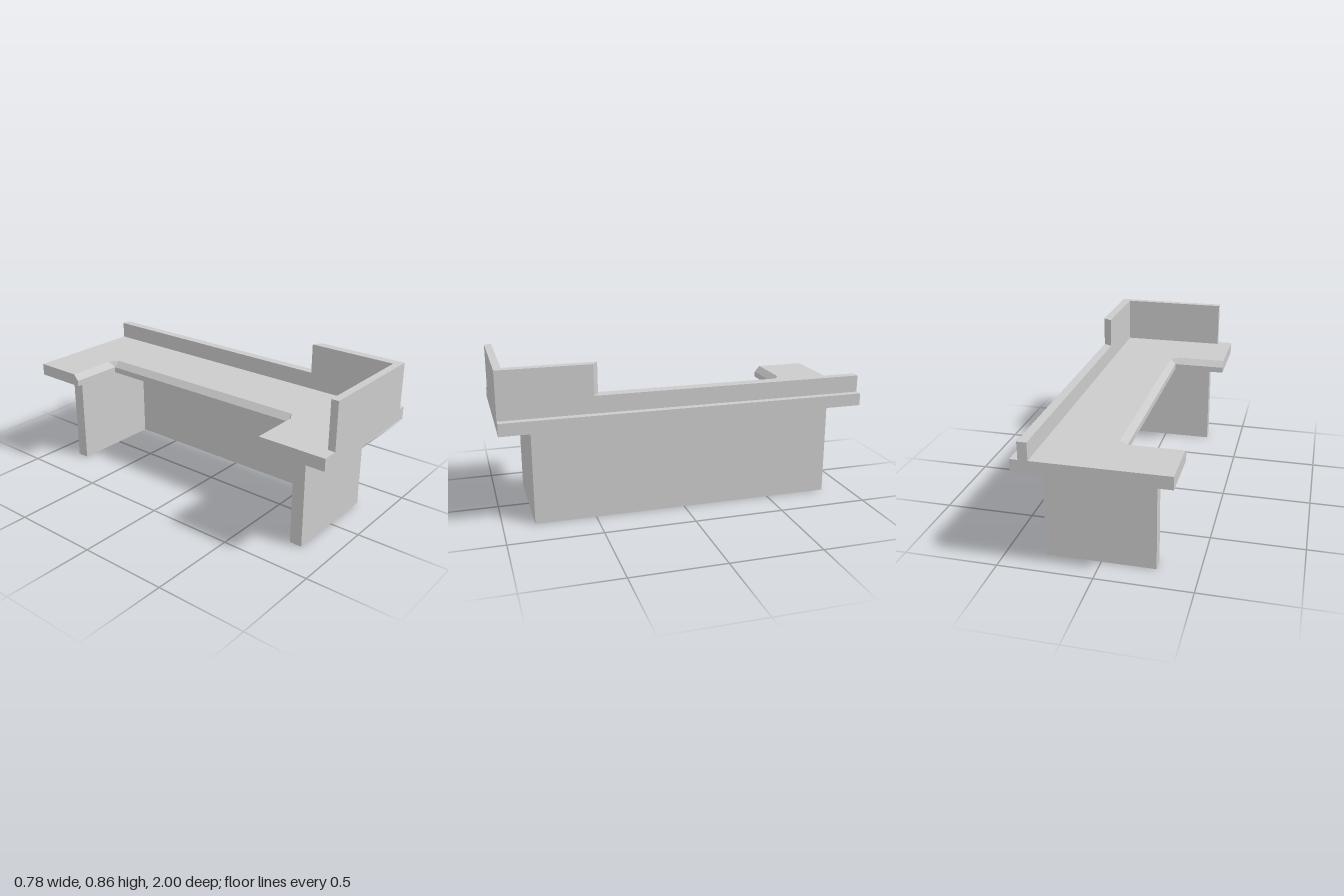
import * as THREE from 'three';

// Solid through stacked outlines; each ring is { y, pts: [[x, z], ...] }, counter-clockwise seen from above
function loft(name, rings) {
  const pos = [];
  const tri = (a, b, c) => pos.push(...a, ...b, ...c);
  const at = (ring, i) => {
    const [x, z] = ring.pts[i % ring.pts.length];
    return [x, ring.y, z];
  };
  const cap = (ring, up) => {
    const outline = ring.pts.map(([x, z]) => new THREE.Vector2(x, -z));
    for (const [a, b, c] of THREE.ShapeUtils.triangulateShape(outline, [])) {
      if (up) tri(at(ring, a), at(ring, b), at(ring, c));
      else tri(at(ring, a), at(ring, c), at(ring, b));
    }
  };
  cap(rings[0], false);
  cap(rings[rings.length - 1], true);
  for (let r = 0; r < rings.length - 1; r++) {
    const lo = rings[r], hi = rings[r + 1];
    for (let i = 0; i < lo.pts.length; i++) {
      tri(at(lo, i), at(lo, i + 1), at(hi, i + 1));
      tri(at(lo, i), at(hi, i + 1), at(hi, i));
    }
  }
  const geo = new THREE.BufferGeometry();
  geo.setAttribute('position', new THREE.Float32BufferAttribute(pos, 3));
  geo.computeVertexNormals();
  const mesh = new THREE.Mesh(geo, new THREE.MeshStandardMaterial({ color: 0xcccccc, flatShading: true }));
  mesh.name = name;
  return mesh;
}

const prism = (name, y0, y1, pts) => loft(name, [{ y: y0, pts }, { y: y1, pts }]);

export function createModel() {
  const group = new THREE.Group();
  group.name = 'receptionDesk';
  const baseTop = 0.535, top = 0.603, W = 0.392;

  // U-shaped base: long panel and two end panels
  group.add(prism('basePanels', 0, baseTop, [
    [-0.285, 0.83], [0.29, 0.83], [0.29, -0.85], [-0.285, -0.85],
    [-0.285, -0.78], [0.245, -0.78], [0.245, 0.76], [-0.285, 0.76],
  ]));

  // Worktop with a seat recess whose upper edge is bevelled
  const outer = [[-W, 1], [W, 1], [W, -1], [-W, -1]];
  const lip = [...outer,
    [-W, -0.69], [-0.09, -0.69], [-0.09, -0.69], [-0.09, 0.59], [-0.09, 0.59], [-W, 0.59]];
  const bevel = [...outer,
    [-W, -0.72], [-0.11, -0.72], [-0.06, -0.685], [-0.06, 0.59], [-0.11, 0.62], [-W, 0.62]];
  group.add(loft('worktop', [
    { y: baseTop, pts: lip }, { y: 0.568, pts: lip }, { y: top, pts: bevel },
  ]));

  // Tall corner screen with a slanted end
  group.add(prism('tallScreen', top, 0.863, [
    [-0.305, 1], [0.35, 1], [0.35, 0.505], [0.3, 0.475], [0.3, 0.96], [-0.305, 0.96],
  ]));

  // Low screen along the rest of the long side
  group.add(prism('lowScreen', top, 0.697, [
    [0.3, 0.475], [0.35, 0.505], [0.35, -1], [0.3, -1],
  ]));

  return group;
}
